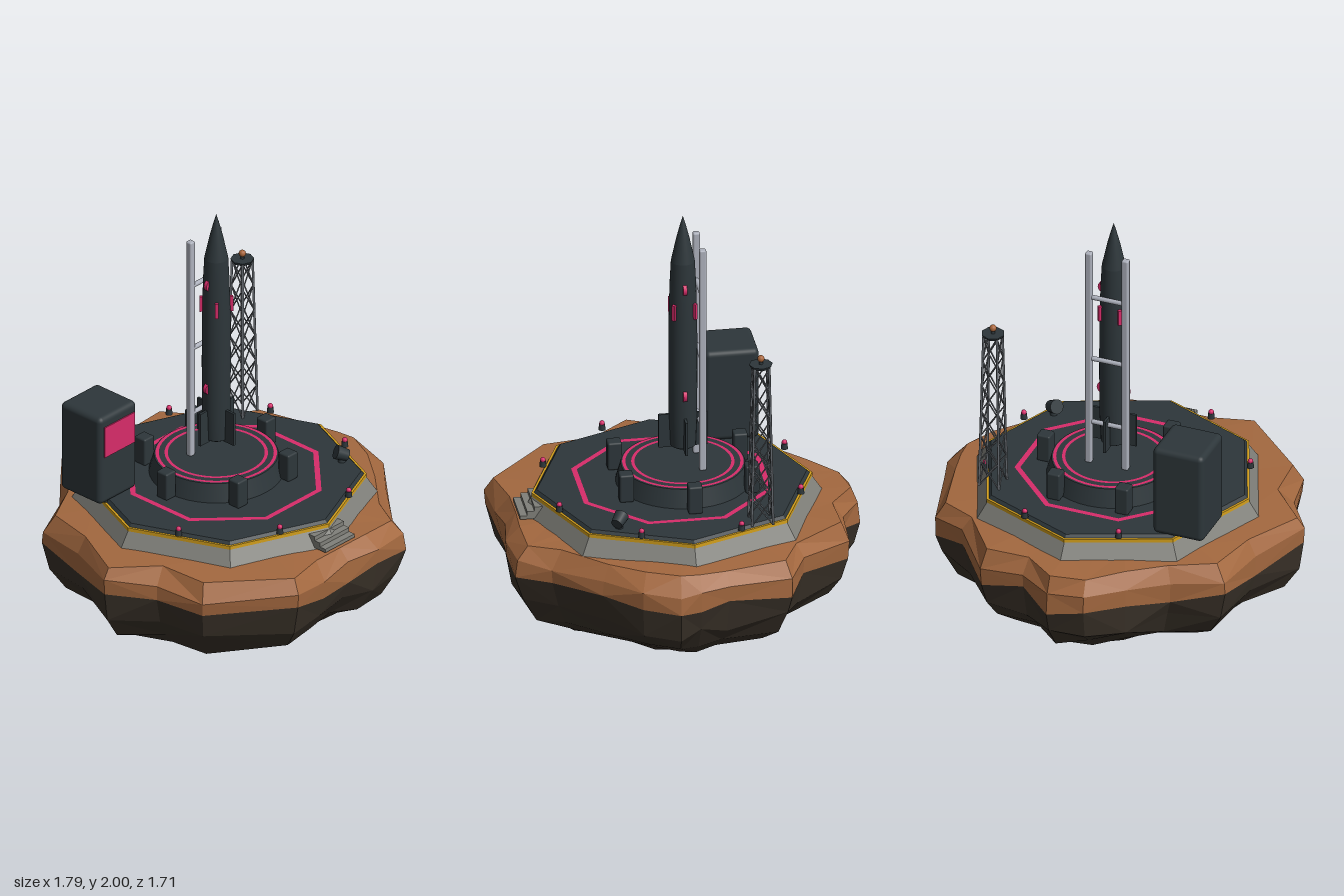
import * as THREE from 'three';
import { RoundedBoxGeometry } from 'three/addons/geometries/RoundedBoxGeometry.js';

const mat = (name, color, extra = {}) => {
  const m = new THREE.MeshStandardMaterial({ color, ...extra });
  m.name = name;
  return m;
};

export function createModel() {
  const M = {
    soil: mat('brown rock', 0xa3683f, { flatShading: true }),
    stone: mat('dark rock', 0x3a3229, { flatShading: true }),
    concrete: mat('concrete', 0x80807a, { flatShading: true }),
    dark: mat('dark slate', 0x2d363a),
    yellow: mat('yellow trim', 0xd4a01c),
    pink: mat('pink', 0xd82c6a),
    rail: mat('light metal', 0xaeb2bd),
    steel: mat('tower steel', 0x6c7177),
    copper: mat('copper', 0xa9653a),
  };
  const model = new THREE.Group();
  const CX = 0.022, CZ = 0.022, PZ = -0.03, DECK = 0.63;

  const add = (parent, name, geo, material, x = 0, y = 0, z = 0) => {
    const m = new THREE.Mesh(geo, material);
    m.name = name;
    m.position.set(x, y, z);
    parent.add(m);
    return m;
  };
  const group = (name, x = 0, y = 0, z = 0, parent = model) => {
    const g = new THREE.Group();
    g.name = name;
    g.position.set(x, y, z);
    parent.add(g);
    return g;
  };
  // Round bar between two points
  const bar = (parent, name, a, b, r, material, sides = 6) => {
    const d = b.clone().sub(a);
    const m = add(parent, name, new THREE.CylinderGeometry(r, r, d.length(), sides), material);
    m.position.copy(a).add(b).multiplyScalar(0.5);
    m.quaternion.setFromUnitVectors(new THREE.Vector3(0, 1, 0), d.normalize());
    return m;
  };
  // Flat ring lying on a surface
  const floorRing = (parent, name, inner, outer, sides, start, y) => {
    const g = new THREE.RingGeometry(inner, outer, sides, 1, start).rotateX(-Math.PI / 2);
    return add(parent, name, g, M.pink, 0, y, 0);
  };

  // Floating rock: one outline scaled through several heights
  const outline = [
    [0.02, -0.87], [-0.16, -0.857], [-0.32, -0.72], [-0.486, -0.568], [-0.717, -0.46], [-0.766, -0.19],
    [-0.9, 0.1], [-0.756, 0.31], [-0.7, 0.55], [-0.366, 0.857], [-0.16, 0.83], [0.02, 0.823],
    [0.2, 0.847], [0.404, 0.828], [0.49, 0.674], [0.68, 0.457], [0.828, 0.29], [0.9, 0.12],
    [0.895, 0.02], [0.847, -0.12], [0.766, -0.43], [0.597, -0.515], [0.4, -0.76], [0.183, -0.765]];
  const N = outline.length;
  const noise = (i, j) => {
    const s = Math.sin(i * 127.1 + j * 311.7 + 4.2) * 43758.5453;
    return (s - Math.floor(s)) * 2 - 1;
  };
  // height, scale, height jitter, scale jitter
  const levels = [
    [0, 0.6, 0, 0.04], [0.055, 0.73, 0.015, 0.03], [0.13, 0.86, 0.025, 0.03], [0.24, 0.95, 0.03, 0.02],
    [0.36, 0.99, 0.03, 0.01], [0.45, 0.99, 0.02, 0.01], [0.522, 0.92, 0.005, 0.03], [0.53, 0.7, 0, 0]];
  const rings = levels.map(([y, s, jy, js], j) => outline.map(([x, z], i) => {
    const k = s + noise(i, j) * js;
    return [x * k, y + noise(i + 50, j) * jy, z * k];
  }));
  const rockBand = (name, from, to, material, cap, capY) => {
    const p = [];
    for (let i = 0; i < N; i++) {
      const n = (i + 1) % N;
      for (let j = from; j < to; j++) {
        const a = rings[j][i], b = rings[j][n], c = rings[j + 1][n], d = rings[j + 1][i];
        if ((i + j) % 2) p.push(...a, ...b, ...c, ...a, ...c, ...d);
        else p.push(...a, ...b, ...d, ...b, ...c, ...d);
      }
      const r = rings[cap];
      if (cap === from) p.push(...r[n], ...r[i], 0, capY, 0);
      else p.push(...r[i], ...r[n], 0, capY, 0);
    }
    const g = new THREE.BufferGeometry();
    g.setAttribute('position', new THREE.Float32BufferAttribute(p, 3));
    g.computeVertexNormals();
    add(model, name, g, material);
  };
  rockBand('rockUnderside', 0, 4, M.stone, 0, 0);
  rockBand('rockTop', 4, 7, M.soil, 7, 0.53);

  // Octagonal platform
  const platform = group('platform', CX, 0, CZ);
  const octagon = (name, top, bottom, y0, y1, material) => add(platform, name,
    new THREE.CylinderGeometry(top, bottom, y1 - y0, 8).toNonIndexed(), material, 0, (y0 + y1) / 2, 0)
    .geometry.computeVertexNormals();
  octagon('foundation', 0.66, 0.713, 0.52, 0.6, M.concrete);
  octagon('yellowTrim', 0.663, 0.663, 0.598, 0.616, M.yellow);
  octagon('deck', 0.638, 0.655, 0.612, DECK, M.dark);
  floorRing(platform, 'octagonMarking', 0.455, 0.482, 8, Math.PI / 8, DECK + 0.003);
  for (let i = 0; i < 3; i++) {
    const h = 0.06 - i * 0.021;
    add(platform, 'step', new THREE.BoxGeometry(0.2, h, 0.04), M.concrete, 0, 0.53 + h / 2, 0.645 + i * 0.034);
  }

  // Marker lights around the deck edge
  for (let i = 0; i < 8; i++) {
    const a = (i + 0.5) * Math.PI / 4;
    const light = group('markerLight', Math.sin(a) * 0.617, DECK, Math.cos(a) * 0.617, platform);
    add(light, 'lightBase', new THREE.CylinderGeometry(0.014, 0.017, 0.028, 12), M.dark, 0, 0.014, 0);
    add(light, 'lightLamp', new THREE.SphereGeometry(0.013, 12, 8), M.pink, 0, 0.033, 0);
  }

  // Round launch pad with six blocks
  const pad = group('launchPad', CX, DECK, PZ);
  add(pad, 'padBase', new THREE.CylinderGeometry(0.29, 0.315, 0.09, 40), M.dark, 0, 0.045, 0);
  floorRing(pad, 'outerMarking', 0.268, 0.283, 48, 0, 0.093);
  floorRing(pad, 'innerMarking', 0.226, 0.241, 48, 0, 0.093);
  for (let i = 0; i < 6; i++) {
    const a = i * Math.PI / 3;
    add(pad, 'padBlock', new RoundedBoxGeometry(0.067, 0.14, 0.067, 2, 0.009), M.dark,
      Math.cos(a) * 0.343, 0.07, Math.sin(a) * 0.343);
  }

  // Rocket
  const rocket = group('rocket', CX, 0, PZ);
  const lathe = (name, pts) => add(rocket, name,
    new THREE.LatheGeometry(pts.map(([r, y]) => new THREE.Vector2(r, y)), 28), M.dark);
  lathe('body', [[0.06, 0.815], [0.066, 0.95], [0.068, 1.2], [0.067, 1.45], [0.062, 1.65], [0.056, 1.768]]);
  lathe('noseCone', [[0.056, 1.768], [0.03, 1.89], [0.012, 1.96], [0, 2]]);
  lathe('nozzle', [[0, 0.805], [0.045, 0.805], [0.06, 0.815]]);
  for (let i = 0; i < 4; i++) {
    const a = i * Math.PI / 2, d = a + Math.PI / 4;
    add(rocket, 'fin', new THREE.BoxGeometry(0.065, 0.17, 0.012), M.dark,
      Math.cos(a) * 0.083, 0.89, Math.sin(a) * 0.083).rotation.y = -a;
    add(rocket, 'bodyStripe', new THREE.BoxGeometry(0.022, 0.078, 0.016), M.pink,
      Math.cos(d) * 0.068, 1.522, Math.sin(d) * 0.068).rotation.y = -d;
  }
  for (const side of [-1, 1]) for (const [y, x] of [[1.64, 0.047], [1.09, 0.052]]) {
    add(rocket, 'porthole', new THREE.CylinderGeometry(0.03, 0.03, 0.018, 16).rotateX(Math.PI / 2),
      M.pink, side * x, y, 0);
  }

  // Launch rails with cross bars
  const gantry = group('launchRails', CX, 0, -0.108);
  for (const s of [-1, 1]) {
    add(gantry, 'rail', new RoundedBoxGeometry(0.033, 1.145, 0.033, 2, 0.008), M.rail, s * 0.092, 1.291, 0);
  }
  for (const y of [0.94, 1.285, 1.62]) {
    bar(gantry, 'crossBar', new THREE.Vector3(-0.09, y, 0), new THREE.Vector3(0.09, y, 0), 0.012, M.rail, 10);
  }

  // Lattice tower
  const tower = group('latticeTower', 0.512, DECK, -0.318);
  const H = 0.81, SECTIONS = 6;
  const corner = (i, t) => {
    const w = 0.05 - 0.016 * t;
    return new THREE.Vector3([-w, w, w, -w][i % 4], t * H, [-w, -w, w, w][i % 4]);
  };
  for (let i = 0; i < 4; i++) {
    bar(tower, 'towerLeg', corner(i, 0), corner(i, 1), 0.006, M.steel);
    for (let k = 0; k < SECTIONS; k++) {
      const t0 = k / SECTIONS, t1 = (k + 1) / SECTIONS;
      bar(tower, 'towerBrace', corner(i, t0), corner(i + 1, t1), 0.0035, M.steel, 5);
      bar(tower, 'towerBrace', corner(i + 1, t0), corner(i, t1), 0.0035, M.steel, 5);
    }
  }
  add(tower, 'towerCap', new THREE.CylinderGeometry(0.056, 0.05, 0.014, 8), M.dark, 0, H, 0);
  add(tower, 'beaconStem', new THREE.CylinderGeometry(0.008, 0.01, 0.02, 8), M.dark, 0, H + 0.015, 0);
  add(tower, 'beacon', new THREE.SphereGeometry(0.017, 14, 10), M.copper, 0, H + 0.034, 0);

  // Control building
  const building = group('controlBuilding', -0.47, DECK, -0.322);
  add(building, 'buildingBody', new RoundedBoxGeometry(0.256, 0.462, 0.258, 3, 0.026), M.dark, 0, 0.229, 0);
  add(building, 'window', new THREE.BoxGeometry(0.205, 0.16, 0.008), M.pink, 0.002, 0.33, 0.131);

  // Floodlight aimed at the pad
  const flood = group('floodlight', 0.477, DECK, 0.345);
  add(flood, 'floodStand', new THREE.CylinderGeometry(0.012, 0.018, 0.03, 10), M.dark, 0, 0.015, 0);
  const barrel = add(flood, 'floodBarrel', new THREE.CylinderGeometry(0.035, 0.028, 0.06, 16), M.dark, 0, 0.042, 0);
  barrel.quaternion.setFromUnitVectors(new THREE.Vector3(0, 1, 0), new THREE.Vector3(-0.75, 0.4, -0.53).normalize());

  return model;
}
